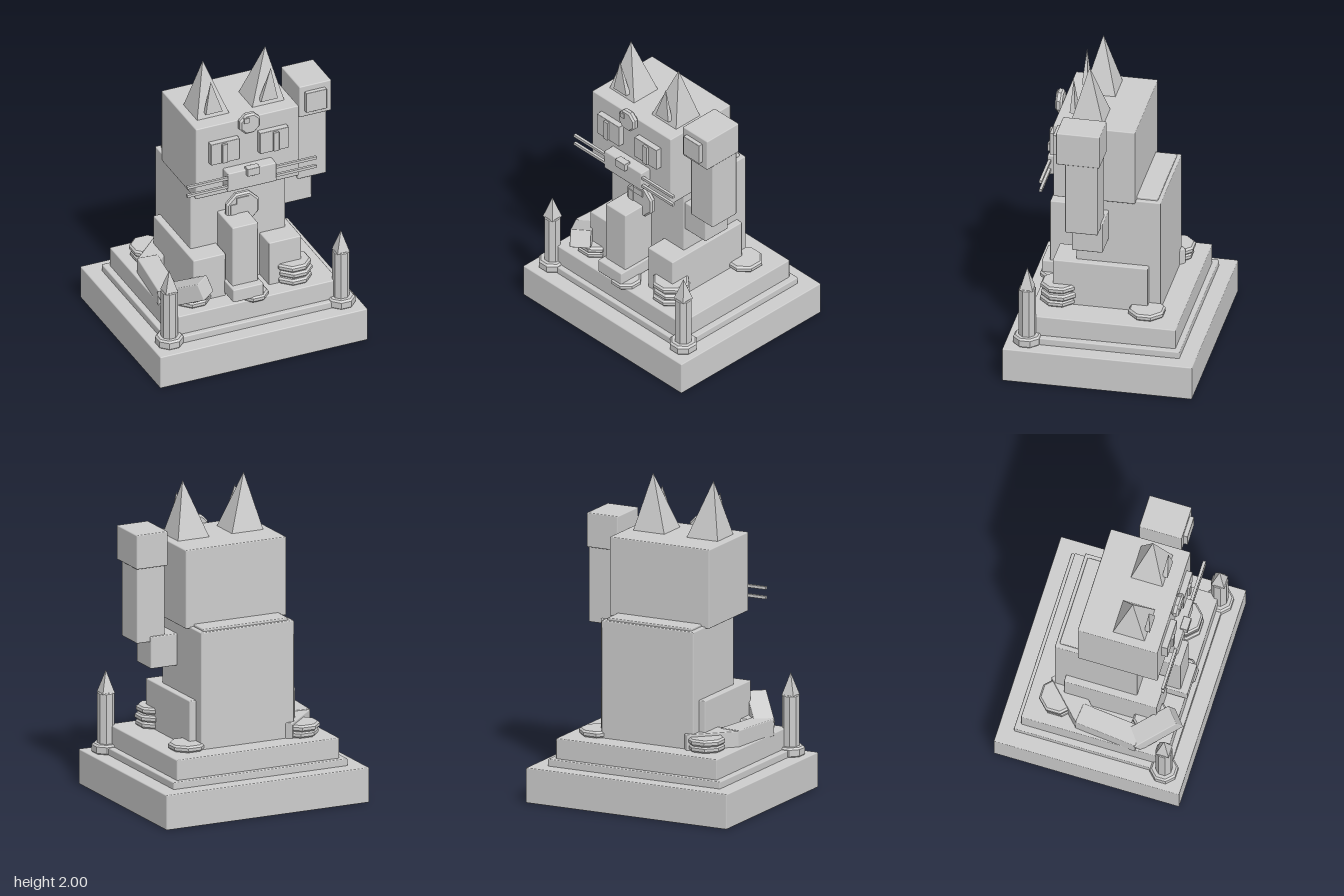
import * as THREE from 'three';
import { RoundedBoxGeometry } from 'three/addons/geometries/RoundedBoxGeometry.js';

const stone = new THREE.MeshStandardMaterial({ color: 0xcccccc });
stone.name = 'plain grey';

// Facets every face
function flat(geometry) {
  const g = geometry.index ? geometry.toNonIndexed() : geometry;
  g.computeVertexNormals();
  return g;
}

export function createModel() {
  const model = new THREE.Group();
  model.name = 'catStatue';

  function add(name, geometry, x = 0, y = 0, z = 0) {
    const mesh = new THREE.Mesh(geometry, stone);
    mesh.name = name;
    mesh.position.set(x, y, z);
    model.add(mesh);
    return mesh;
  }

  // Box with finely bevelled edges, given by its limits
  function box(name, x0, x1, y0, y1, z0, z1, bevel = 0.007) {
    const w = x1 - x0, h = y1 - y0, d = z1 - z0;
    const g = bevel ? new RoundedBoxGeometry(w, h, d, 1, bevel) : new THREE.BoxGeometry(w, h, d);
    return add(name, g, (x0 + x1) / 2, (y0 + y1) / 2, (z0 + z1) / 2);
  }

  // Eight-sided bevelled disc; a is half the width across flats
  function disc(a, h, bevel = 0.012) {
    const r = a / Math.cos(Math.PI / 8);
    const profile = [[0, -h / 2], [r - bevel, -h / 2], [r, -h / 2 + bevel],
      [r, h / 2 - bevel], [r - bevel, h / 2], [0, h / 2]].map(p => new THREE.Vector2(...p));
    return flat(new THREE.LatheGeometry(profile, 8, Math.PI / 8));
  }

  // Four-sided spike with its tip moved sideways by lean
  function spike(halfX, halfZ, h, lean = 0) {
    const g = new THREE.ConeGeometry(Math.SQRT2, h, 4).rotateY(Math.PI / 4);
    g.scale(halfX, 1, halfZ).translate(0, h / 2, 0);
    const p = g.attributes.position;
    for (let i = 0; i < p.count; i++) p.setX(i, p.getX(i) + lean * p.getY(i) / h);
    return flat(g);
  }

  // Bar running from one point to another
  function bar(name, from, to, w, h) {
    const a = new THREE.Vector3(...from), b = new THREE.Vector3(...to);
    const mesh = add(name, new RoundedBoxGeometry(w, h, a.distanceTo(b), 1, 0.007));
    mesh.position.copy(a).add(b).multiplyScalar(0.5);
    mesh.lookAt(b);
  }

  // Stepped plinth
  box('plinth', -0.705, 0.705, 0, 0.225, -0.6, 0.6);
  box('plinthStep', -0.605, 0.605, 0.22, 0.27, -0.5, 0.5);
  box('plinthTop', -0.565, 0.565, 0.265, 0.4, -0.467, 0.467);

  // Body, collar and head
  box('body', -0.323, 0.323, 0.39, 1.15, -0.323, 0.21);
  box('collar', -0.295, 0.295, 1.09, 1.165, -0.3, 0.25);
  box('head', -0.35, 0.35, 1.14, 1.645, -0.167, 0.35);

  for (const s of [-1, 1]) {
    const pair = (name, x0, x1, ...rest) =>
      box(name, Math.min(s * x0, s * x1), Math.max(s * x0, s * x1), ...rest);
    pair('haunch', 0.147, 0.367, 0.39, 0.7, -0.25, 0.35);

    // Ears
    add('ear', spike(0.11, 0.104, 0.36, s * 0.025), s * 0.187, 1.64, 0.148);
    add('innerEar', spike(0.057, 0.018, 0.22, s * 0.017), s * 0.187, 1.68, 0.25);

    // Eyes and whiskers
    pair('eye', 0.068, 0.265, 1.385, 1.535, 0.34, 0.39, 0.004);
    pair('pupil', 0.156, 0.193, 1.39, 1.525, 0.38, 0.405, 0.003);
    for (const y of [1.222, 1.283]) pair('whisker', 0.15, 0.44, y - 0.009, y + 0.009, 0.402, 0.42, 0);

    // Candles at the front corners
    add('candleFoot', disc(0.082, 0.065), s * 0.583, 0.2525, 0.465);
    add('candle', disc(0.05, 0.34, 0.006), s * 0.583, 0.44, 0.465);
    add('flame', spike(0.042, 0.042, 0.145), s * 0.583, 0.605, 0.465);
  }

  // Muzzle and nose
  box('muzzle', -0.165, 0.165, 1.188, 1.32, 0.34, 0.425);
  box('nose', -0.043, 0.043, 1.282, 1.335, 0.4, 0.45, 0.004);

  // Forehead gem
  add('foreheadGem', disc(0.07, 0.045), 0, 1.625, 0.375).rotation.x = Math.PI / 2;
  box('gemGlint', -0.045, -0.01, 1.64, 1.675, 0.39, 0.405, 0);

  // Chest medallion
  add('medallion', disc(0.11, 0.042), 0, 0.955, 0.265).rotation.x = Math.PI / 2;
  box('medallionBar', -0.045, 0.037, 0.998, 1.04, 0.28, 0.292, 0);
  box('medallionSlot', -0.085, -0.045, 0.92, 0.998, 0.28, 0.292, 0);

  // Lowered foreleg
  box('foreleg', -0.14, 0.035, 0.42, 0.927, 0.2, 0.435);
  box('forePaw', -0.157, 0.05, 0.42, 0.51, 0.22, 0.485);

  // Raised foreleg
  box('raisedShoulder', 0.3, 0.505, 0.86, 1.065, 0.005, 0.2);
  box('raisedForeleg', 0.4, 0.595, 1.03, 1.52, 0.018, 0.225);
  box('raisedPaw', 0.385, 0.603, 1.51, 1.73, 0.005, 0.28);
  box('pawPad', 0.42, 0.56, 1.55, 1.69, 0.27, 0.308, 0.004);

  // Tail curling round the side
  bar('tailBase', [-0.245, 0.445, -0.305], [-0.487, 0.445, -0.07], 0.14, 0.11);
  bar('tailMiddle', [-0.468, 0.45, -0.12], [-0.505, 0.44, 0.28], 0.135, 0.11);
  bar('tailTip', [-0.515, 0.43, 0.245], [-0.335, 0.563, 0.465], 0.13, 0.115);

  // Coin piles: x, y, z of each coin
  for (const [x, y, z] of [
    [0.32, 0.42, 0.32], [0.328, 0.465, 0.313], [0.318, 0.513, 0.317],
    [-0.36, 0.42, 0.31], [-0.355, 0.462, 0.315],
    [-0.385, 0.42, -0.27], [-0.39, 0.462, -0.28],
    [0.385, 0.42, -0.25],
  ]) add('coin', disc(0.109, 0.043), x, y, z);
  add('coin', disc(0.09, 0.043), 0.012, 0.41, 0.405);

  return model;
}
